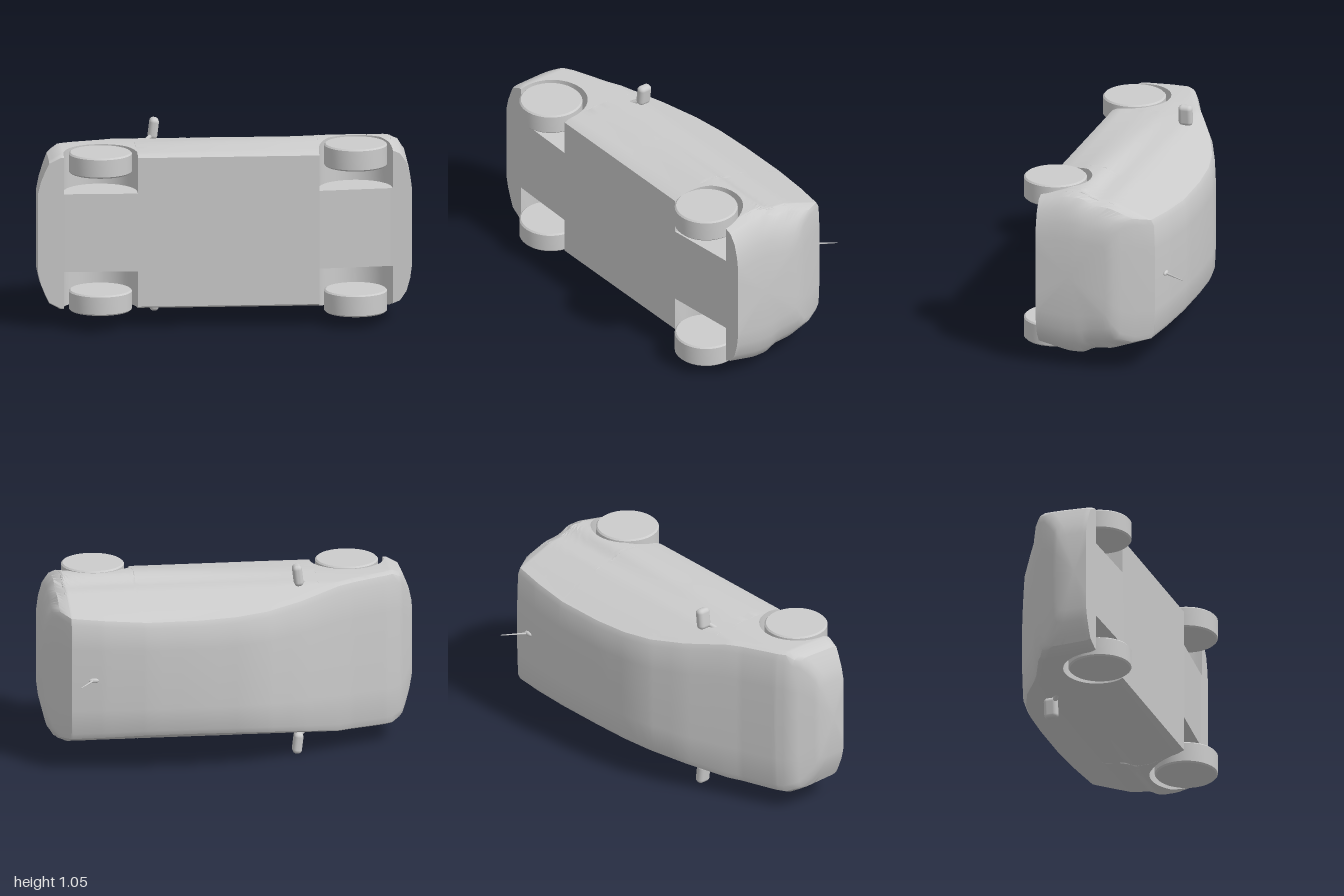
import * as THREE from 'three';
import { toCreasedNormals } from 'three/addons/utils/BufferGeometryUtils.js';
import { RoundedBoxGeometry } from 'three/addons/geometries/RoundedBoxGeometry.js';

// The car lies on its side: nose at -x, roof at -z, width along y about MID.
const MID = 0.526;
const ARCH = 0.196, AXLE_Z = 0.297, AXLES = [-0.665, 0.695];

// Piecewise linear lookup in [key, value] pairs
function lookup(table, k) {
  if (k <= table[0][0]) return table[0][1];
  for (let i = 1; i < table.length; i++) {
    const [a, va] = table[i - 1], [b, vb] = table[i];
    if (k <= b) return va + ((vb - va) * (k - a)) / (b - a);
  }
  return table[table.length - 1][1];
}

// Roof, hood and tail line
const top = [[-1, 0.17], [-0.96, 0.105], [-0.92, 0.04], [-0.84, -0.01], [-0.65, -0.09], [-0.5, -0.17],
  [-0.36, -0.245], [-0.17, -0.32], [0, -0.355], [0.2, -0.37], [0.48, -0.372], [0.7, -0.35],
  [0.88, -0.32], [0.93, -0.23], [0.965, -0.16], [0.985, -0.12], [0.995, -0.08]];
// Underside line
const bottom = [[-1, 0.338], [-0.86, 0.346], [-0.47, 0.355], [0.5, 0.355], [0.88, 0.315], [1, 0.312]];
// Narrowing at nose and tail
const taper = [[-1, 0.52], [-0.985, 0.67], [-0.96, 0.82], [-0.94, 0.92], [-0.88, 1], [0.88, 1],
  [0.93, 0.95], [0.965, 0.83], [0.985, 0.66], [0.995, 0.48]];
// Widest half-width along the length
const belly = [[-0.88, 0.426], [-0.47, 0.428], [0, 0.441], [0.5, 0.456], [0.88, 0.457]];

// Half-width of the body side at length x and height z
function halfWidth(x, z) {
  const b = lookup(belly, x);
  const side = [[-0.37, 0.3], [-0.3, 0.335], [-0.2, 0.372], [-0.08, 0.415], [0.02, 0.424],
    [0.08, b], [0.16, b], [0.32, 0.42], [0.355, 0.405]];
  return lookup(side, z) * lookup(taper, x);
}

// Lower edge of the side panel: underside, or the wheel arch curve
function sideEdge(x) {
  for (const c of AXLES) {
    const d = Math.abs(x - c);
    if (d < ARCH) return AXLE_Z - Math.sqrt(ARCH * ARCH - d * d);
  }
  return lookup(bottom, x);
}

// Full closed cross-section, from underside centre round the +y side and back
function section(x) {
  const zt = lookup(top, x), zu = lookup(bottom, x), zb = sideEdge(x);
  const corner = zt + 0.05, wc = halfWidth(x, corner);
  const inner = Math.min(0.212, halfWidth(x, zb) * 0.6);
  const half = [[0, zu], [inner, zu], [inner, zb]];
  const n = 18;
  for (let i = 0; i <= n; i++) {
    const z = zb + ((corner - zb) * i) / n;
    half.push([halfWidth(x, z), z]);
  }
  half.push([wc * 0.97, zt + 0.022], [wc * 0.88, zt + 0.007], [wc * 0.5, zt + 0.001], [0, zt]);
  const mirrored = half.slice(1, -1).reverse().map(([w, z]) => [-w, z]);
  return [...half, ...mirrored].map(([w, z]) => new THREE.Vector3(x, MID + w, z));
}

// Body shell lofted through the cross-sections, wheel wells included
function bodyGeometry() {
  const xs = new Set([...top, ...taper, ...belly].map(([x]) => x));
  for (const c of AXLES) {
    for (let i = 0; i <= 20; i++) xs.add(c - Math.cos((i / 20) * Math.PI) * (ARCH - 0.0005));
    xs.add(c - ARCH - 0.001).add(c + ARCH + 0.001);
  }
  for (let x = -0.4; x < 0.5; x += 0.1) xs.add(x);
  const rings = [...xs].sort((a, b) => a - b).map(section);
  const n = rings[0].length, pos = [];
  const tri = (...pts) => pts.forEach((p) => pos.push(p.x, p.y, p.z));
  for (let i = 0; i < rings.length - 1; i++) {
    for (let j = 0; j < n; j++) {
      const k = (j + 1) % n;
      tri(rings[i][j], rings[i + 1][j], rings[i][k]);
      tri(rings[i + 1][j], rings[i + 1][k], rings[i][k]);
    }
  }
  // Nose and tail panels
  [rings[0], rings[rings.length - 1]].forEach((ring, e) => {
    const c = ring.reduce((s, p) => s.add(p), new THREE.Vector3()).divideScalar(n);
    for (let j = 0; j < n; j++) {
      const k = (j + 1) % n;
      if (e === 0) tri(c, ring[j], ring[k]);
      else tri(c, ring[k], ring[j]);
    }
  });
  const g = new THREE.BufferGeometry();
  g.setAttribute('position', new THREE.Float32BufferAttribute(pos, 3));
  return toCreasedNormals(g, 0.6);
}

// Wheel turned about y with softened rims
function wheelGeometry(width) {
  const r = 0.168, h = width / 2, b = 0.008;
  const profile = [[0, -h], [r - b, -h], [r, -h + b], [r, h - b], [r - b, h], [0, h]];
  const g = new THREE.LatheGeometry(profile.map(([x, y]) => new THREE.Vector2(x, y)), 40);
  return toCreasedNormals(g.toNonIndexed(), 0.6);
}

// Thin tapered rod between two points
function rod(a, b, r0, r1, material) {
  const dir = b.clone().sub(a);
  const m = new THREE.Mesh(new THREE.CylinderGeometry(r1, r0, dir.length(), 10), material);
  m.position.copy(a).add(b).multiplyScalar(0.5);
  m.quaternion.setFromUnitVectors(new THREE.Vector3(0, 1, 0), dir.normalize());
  return m;
}

export function createModel() {
  const model = new THREE.Group();
  model.name = 'car';
  const material = new THREE.MeshStandardMaterial({ color: 0xcccccc });
  const add = (mesh, name, parent = model) => {
    mesh.name = name;
    parent.add(mesh);
    return mesh;
  };

  add(new THREE.Mesh(bodyGeometry(), material), 'body');

  // Wheels: front pair slightly closer together
  const axles = [['front', AXLES[0], 0.429, 0.11], ['rear', AXLES[1], 0.457, 0.12]];
  for (const [label, x, outer, width] of axles) {
    for (const s of [-1, 1]) {
      const wheel = add(new THREE.Mesh(wheelGeometry(width), material), label + 'Wheel');
      wheel.position.set(x, MID + s * (outer - width / 2), AXLE_Z);
    }
  }

  // Door mirrors on short stalks
  for (const s of [-1, 1]) {
    const mirror = add(new THREE.Group(), 'doorMirror');
    const shell = add(new THREE.Mesh(new RoundedBoxGeometry(0.05, 0.115, 0.076, 4, 0.022), material), 'mirrorShell', mirror);
    shell.position.set(-0.357, MID + s * 0.467, -0.089);
    shell.rotation.z = -s * 0.12;
    const foot = new THREE.Vector3(-0.405, MID + s * 0.405, -0.038);
    const head = new THREE.Vector3(-0.365, MID + s * 0.435, -0.07);
    add(rod(foot, head, 0.014, 0.012, material), 'mirrorStalk', mirror);
  }

  // Roof antenna
  const antenna = add(new THREE.Group(), 'antenna');
  const base = add(new THREE.Mesh(new THREE.SphereGeometry(1, 16, 10), material), 'antennaBase', antenna);
  base.scale.set(0.028, 0.013, 0.011);
  base.position.set(0.765, MID, -0.343);
  add(rod(new THREE.Vector3(0.77, MID, -0.345), new THREE.Vector3(0.848, MID, -0.464), 0.006, 0.002, material),
    'antennaMast', antenna);

  return model;
}
